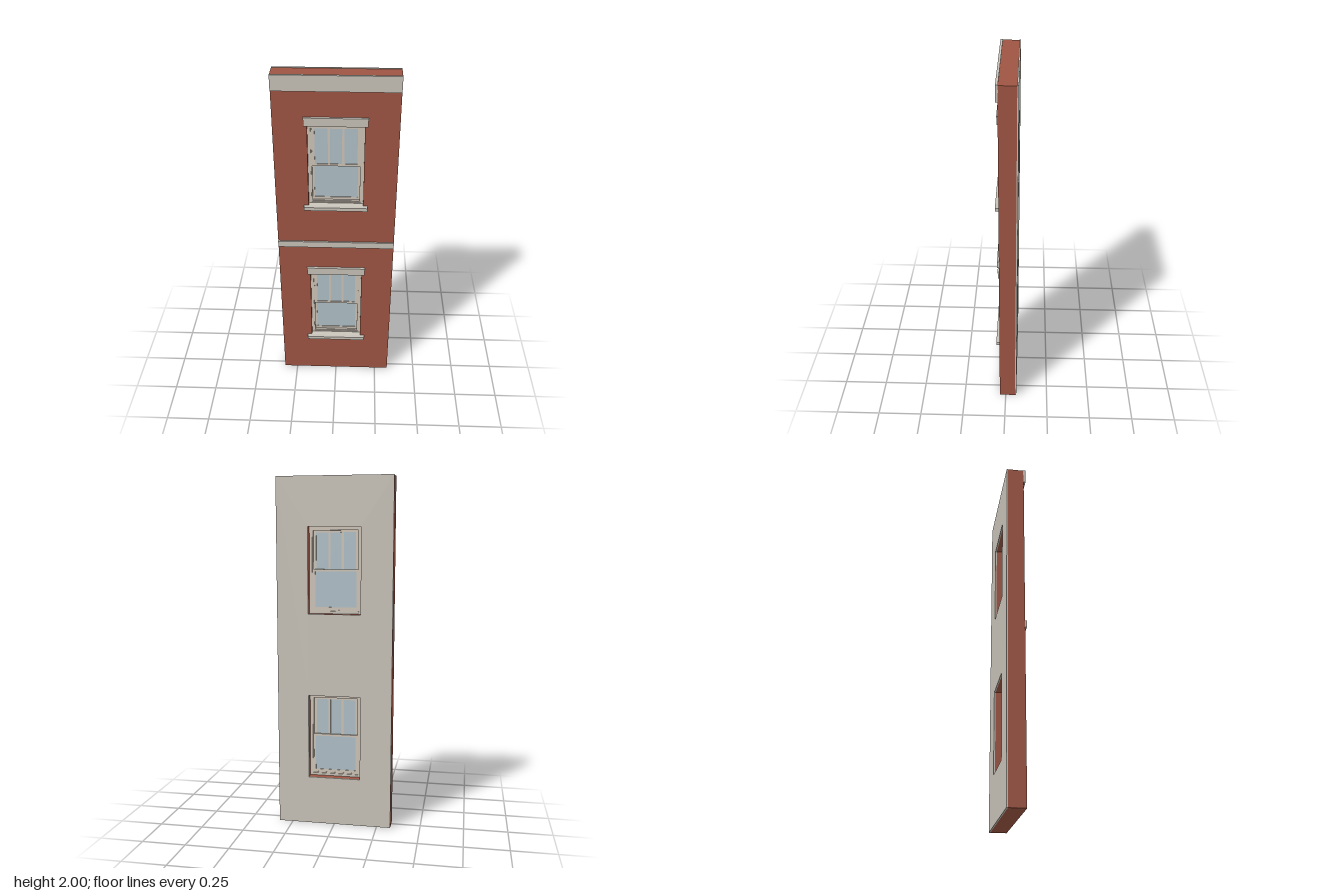
import * as THREE from 'three';

const mat = (name, color) => Object.assign(new THREE.MeshStandardMaterial({ color }), { name });

export function createModel() {
  const brick = mat('brick red', 0x9e5543);
  const stone = mat('pale stone', 0xc8c3b9);
  const paint = mat('window paint', 0xcfc5b8);
  const glass = mat('glass blue', 0xb0c0c8);
  const model = new THREE.Group();
  model.name = 'wallPanel';

  const add = (parent, name, geo, material) => {
    const m = new THREE.Mesh(geo, material);
    m.name = name;
    parent.add(m);
    return m;
  };
  // Box given by its limits
  const box = (parent, name, material, x0, x1, y0, y1, z0, z1) => {
    const m = add(parent, name, new THREE.BoxGeometry(x1 - x0, y1 - y0, z1 - z0), material);
    m.position.set((x0 + x1) / 2, (y0 + y1) / 2, (z0 + z1) / 2);
  };
  const rect = (path, hw, y0, y1) => {
    path.moveTo(-hw, y0).lineTo(hw, y0).lineTo(hw, y1).lineTo(-hw, y1).closePath();
    return path;
  };
  // Upright slab with rectangular holes; each rectangle is [halfWidth, bottom, top]
  const slab = (parent, name, material, outer, holes, z0, z1) => {
    const shape = rect(new THREE.Shape(), ...outer);
    holes.forEach((h) => shape.holes.push(rect(new THREE.Path(), ...h)));
    const geo = new THREE.ExtrudeGeometry(shape, { depth: z1 - z0, bevelEnabled: false });
    add(parent, name, geo.translate(0, 0, z0), material);
  };

  // Wall layers with two window openings
  const bases = [0.28, 1.238];
  const openings = bases.map((b) => [0.15, b, b + 0.487]);
  slab(model, 'brickWall', brick, [0.33, 0, 1.997], openings, -0.056, 0.036);
  slab(model, 'innerPlaster', stone, [0.33, 0, 2], openings, -0.064, -0.056);

  // Stone courses
  box(model, 'topBand', stone, -0.33, 0.33, 1.915, 2, 0.034, 0.047);
  box(model, 'middleBand', stone, -0.33, 0.33, 0.962, 1, 0.034, 0.046);

  // Sloped sill section, drawn as (z, y)
  const sillShape = new THREE.Shape([
    [-0.02, -0.012], [0.036, -0.016], [0.062, -0.016], [0.062, -0.004], [0.036, 0.005], [-0.02, 0.012],
  ].map(([z, y]) => new THREE.Vector2(z, y)));
  const sillPiece = (halfWidth) => new THREE.ExtrudeGeometry(sillShape, { depth: halfWidth * 2, bevelEnabled: false })
    .rotateY(-Math.PI / 2).translate(halfWidth, 0, 0);

  bases.forEach((base, i) => {
    const win = new THREE.Group();
    win.name = i ? 'upperWindow' : 'lowerWindow';
    win.position.y = base;
    model.add(win);

    box(win, 'lintel', stone, -0.167, 0.167, 0.487, 0.533, 0.03, 0.049);
    box(win, 'lintelCap', stone, -0.169, 0.169, 0.525, 0.535, 0.03, 0.051);
    add(win, 'sill', sillPiece(0.15), stone);
    // Projecting nose of the sill, wider than the opening
    box(win, 'sillNose', stone, -0.175, 0.175, -0.016, 0.004, 0.034, 0.062);

    // Stepped outer frame
    slab(win, 'outerFrame', paint, [0.15, 0.004, 0.487], [[0.134, 0.014, 0.473]], -0.02, 0.014);
    slab(win, 'innerStop', paint, [0.136, 0.012, 0.475], [[0.129, 0.02, 0.467]], -0.015, 0.008);

    // Top sash in front, bottom sash set behind it
    slab(win, 'topSash', paint, [0.131, 0.235, 0.469], [[0.114, 0.248, 0.456]], -0.004, 0.006);
    slab(win, 'bottomSash', paint, [0.131, 0.014, 0.25], [[0.118, 0.036, 0.238]], -0.014, -0.004);
    for (const x of [-0.038, 0.038]) {
      box(win, 'glazingBar', paint, x - 0.006, x + 0.006, 0.246, 0.458, -0.003, 0.005);
    }
    box(win, 'topGlass', glass, -0.116, 0.116, 0.246, 0.458, -0.001, 0.002);
    box(win, 'bottomGlass', glass, -0.12, 0.12, 0.034, 0.24, -0.011, -0.008);
  });

  return model;
}
